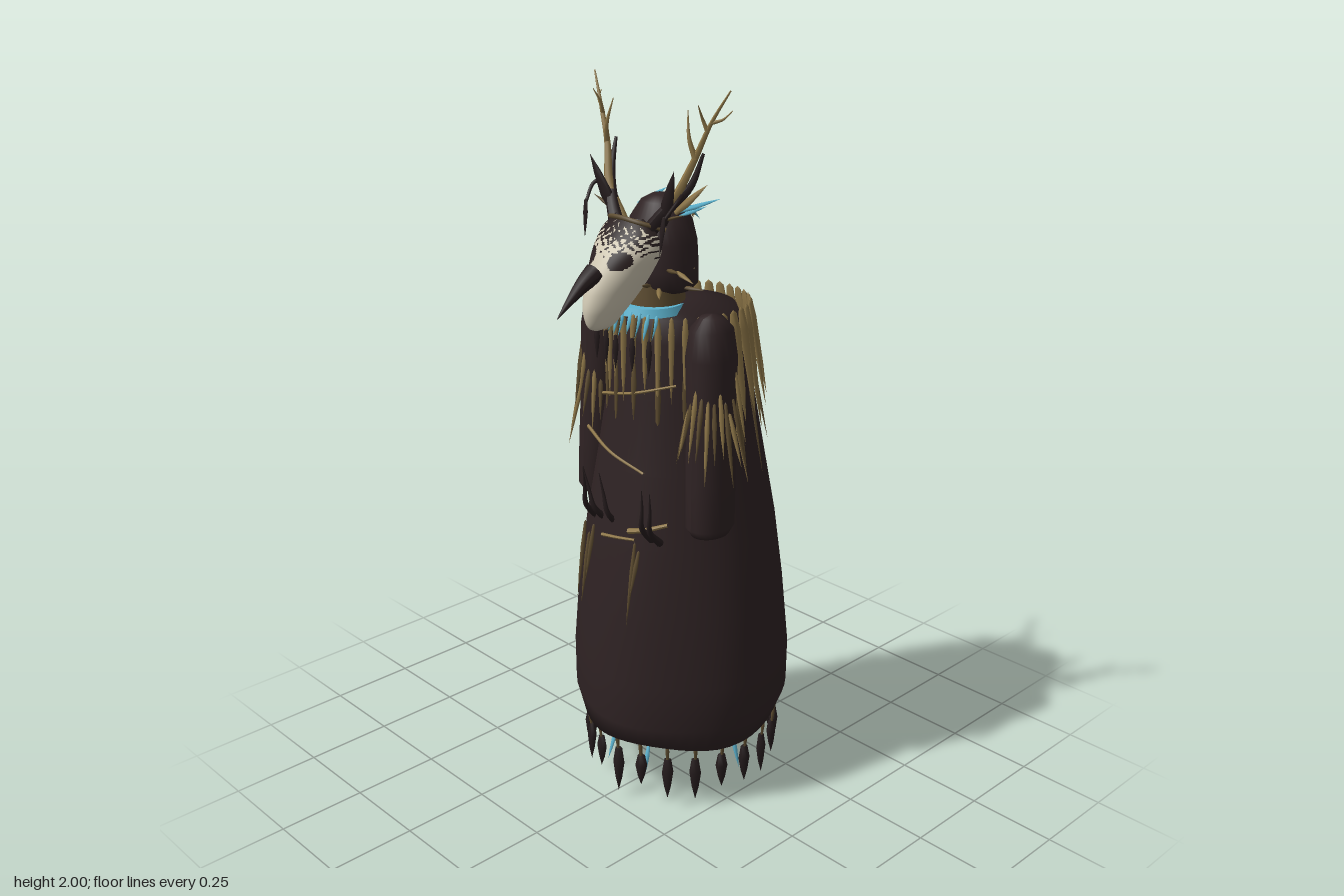
import * as THREE from 'three';
import { mergeVertices } from 'three/addons/utils/BufferGeometryUtils.js';

const mat = (name, color, side = THREE.FrontSide) => {
  const m = new THREE.MeshStandardMaterial({ color, side });
  m.name = name;
  return m;
};
const V = (x, y, z) => new THREE.Vector3(x, y, z);

// Small seeded random
let seed = 7;
const rnd = (a = 0, b = 1) => {
  seed = (seed * 16807) % 2147483647;
  return a + (b - a) * (seed / 2147483647);
};

// Tube along a smooth path whose radius shrinks from r0 to r1
function taper(points, r0, r1, sides = 8, steps = 16) {
  const curve = new THREE.CatmullRomCurve3(points.map((p) => V(...p)));
  const g = new THREE.TubeGeometry(curve, steps, 1, sides);
  const p = g.attributes.position;
  for (let i = 0; i < p.count; i++) {
    const t = Math.floor(i / (sides + 1)) / steps;
    const c = curve.getPointAt(t);
    const v = V(0, 0, 0).fromBufferAttribute(p, i).sub(c).multiplyScalar(r0 + (r1 - r0) * t).add(c);
    p.setXYZ(i, v.x, v.y, v.z);
  }
  g.computeVertexNormals();
  return g;
}

// Flattened feather or claw running from a to b, its flat side facing "out"
function leaf(a, b, width, thick, out = V(0, 0, 1), widest = 0.35) {
  const A = V(...a), B = V(...b), dir = B.clone().sub(A), len = dir.length();
  const profile = [[0, 0], [0.6, 0.03], [1, widest], [0.6, 0.7], [0, 1]];
  const g = new THREE.LatheGeometry(profile.map(([r, y]) => new THREE.Vector2(r, y)), 6);
  const y = dir.normalize();
  const x = V(0, 0, 0).crossVectors(y, out).normalize();
  const z = V(0, 0, 0).crossVectors(x, y);
  g.scale(width / 2, len, thick / 2);
  return g.applyMatrix4(new THREE.Matrix4().makeBasis(x, y, z).setPosition(A));
}

export function createModel() {
  seed = 7;
  const root = new THREE.Group();
  const cloth = mat('darkCloth', 0x2e2223);
  const horn = mat('darkHorn', 0x251c1d);
  const straw = mat('straw', 0x8c7547);
  const oldStraw = mat('oldStraw', 0x5c4b2f);
  const bone = mat('bone', 0xcfc7b2, THREE.DoubleSide);
  const pit = mat('maskDark', 0x2a2020, THREE.DoubleSide);
  const blue = mat('blue', 0x5db4d0);
  const group = (name) => {
    const g = new THREE.Group();
    g.name = name;
    root.add(g);
    return g;
  };
  const add = (name, geo, m, parent = root) => {
    const mesh = new THREE.Mesh(geo, m);
    mesh.name = name;
    parent.add(mesh);
    return mesh;
  };

  // Robe: rows of height, half width, front z, back z
  const rows = [[.155, 0, -.05, -.05], [.16, .2, .15, -.26], [.2, .283, .232, -.342], [.27, .306, .25, -.366],
    [.4, .31, .248, -.364], [.6, .29, .235, -.345], [.8, .262, .21, -.32], [1, .225, .178, -.285],
    [1.2, .19, .15, -.25], [1.35, .17, .135, -.225], [1.41, .15, .12, -.2], [1.445, .08, .1, -.08], [1.45, 0, .03, .03]];
  const S = 48, pos = [], idx = [];
  rows.forEach(([y, rx, zf, zb], r) => {
    for (let i = 0; i < S; i++) {
      const a = (i / S) * Math.PI * 2;
      const w = 1 + 0.016 * Math.sin(5 * a + 0.6) * Math.min(1, (1.45 - y) * 1.2);
      pos.push(rx * Math.sin(a) * w, y + (r < 3 ? 0.008 * Math.sin(4 * a) : 0),
        (zf + zb) / 2 + ((zf - zb) / 2) * Math.cos(a) * w);
      const j = r * S + i, k = r * S + ((i + 1) % S);
      if (r < rows.length - 1) idx.push(j, k, k + S, j, k + S, j + S);
    }
  });
  const robe = new THREE.BufferGeometry();
  robe.setAttribute('position', new THREE.Float32BufferAttribute(pos, 3));
  robe.setIndex(idx);
  robe.computeVertexNormals();
  add('robe', robe, cloth);

  // Hem: straw cords with dark claws, a few blue strands
  const hem = group('hemClaws');
  for (let i = 0; i < 22; i++) {
    const a = (i / 22) * Math.PI * 2 + 0.1, out = V(Math.sin(a), 0, Math.cos(a));
    const at = (k, y) => [out.x * 0.275 * k, y, -0.06 + out.z * 0.285 * k];
    const end = i === 11 ? 0 : rnd(0.02, 0.07);
    add('hemCord', leaf(at(1, 0.22), at(0.97, 0.13), 0.012, 0.01, out), oldStraw, hem);
    add('hemClaw', leaf(at(0.97, 0.165), at(0.98, end), 0.036, 0.026, out), horn, hem);
    if (i % 4 === 1) add('hemStrand', leaf(at(0.8, 0.17), at(0.9, 0.08), 0.014, 0.01, out), blue, hem);
  }

  // Shoulder cape: broad feathers behind, thin ones across the chest
  const cape = group('featherCape');
  for (let i = 0; i < 34; i++) {
    const a = (i / 34) * Math.PI * 2, out = V(Math.sin(a), 0, Math.cos(a));
    const front = out.z > 0.3;
    const at = (k, y) => [out.x * 0.185 * k, y, -0.04 + out.z * 0.195 * k];
    const drop = front ? rnd(0.15, 0.27) : rnd(0.26, 0.36);
    add('capeFeather', leaf(at(1, 1.43), at(front ? 1.02 : 1.27, 1.43 - drop), front ? 0.019 : 0.04, 0.016, out, 0.2),
      straw, cape);
    if (i % 2) add('capeUnderFeather', leaf(at(1, 1.3), at(front ? 1.02 : 1.3, 1.3 - drop), 0.017, 0.01, out), oldStraw, cape);
  }

  // Arms with hanging straw spikes
  for (const s of [1, -1]) {
    const arm = group(s > 0 ? 'leftArm' : 'rightArm');
    const profile = [[0, .845], [.045, .846], [.058, .87], [.06, 1], [.06, 1.2], [.065, 1.33], [.055, 1.405], [.03, 1.435], [0, 1.442]];
    const g = new THREE.LatheGeometry(profile.map((p) => new THREE.Vector2(...p)), 24);
    const p = g.attributes.position;
    for (let i = 0; i < p.count; i++) {
      const t = (1.44 - p.getY(i)) / 0.6;
      p.setX(i, p.getX(i) + s * (0.2 + 0.017 * t));
      p.setZ(i, p.getZ(i) * (1.05 + 0.2 * t) + 0.035 + 0.015 * t);
    }
    g.computeVertexNormals();
    add('sleeve', g, cloth, arm);
    for (let i = 0; i < 16; i++) {
      const a = -0.7 + (i / 15) * 3.9, out = V(s * Math.sin(a), 0, Math.cos(a));
      const y = rnd(1.18, 1.3), r = rnd(0.085, 0.105);
      const at = (k, h) => [s * 0.21 + out.x * k, h, 0.04 + out.z * k];
      add('sleeveSpike', leaf(at(0.058, y), at(r, y - rnd(0.13, 0.24)), 0.014, 0.012, out), i % 2 ? straw : oldStraw, arm);
    }
  }

  // Waist: cords, hanging strands and upturned claws
  const waist = group('waistTrim');
  const cord = (points, r = 0.005) => add('cord', taper(points, r, r * 0.7, 6), straw, waist);
  cord([[-.16, 1.07, .145], [-.03, 1.04, .18], [.09, 1.01, .172]]);
  cord([[-.1, 1.18, .14], [.03, 1.215, .153], [.15, 1.255, .11]]);
  cord([[-.03, .81, .215], [.03, .82, .213], [.09, .83, .205]]);
  cord([[.06, .845, .2], [.11, .86, .19], [.17, .885, .16]], 0.008);
  cord([[-.235, .905, -.02], [-.24, .9, -.08], [-.22, .9, -.15]]);
  for (const [x, y0, y1] of [[-.115, .82, .6], [-.08, .82, .66], [-.1, .79, .58], [.085, .82, .58], [.1, .8, .67]])
    add('waistStrand', leaf([x, y0, .2], [x, y1, .235], .013, .012), oldStraw, waist);
  for (const [x, lean] of [[-.1, .02], [-.05, -.03], [0, -.015], [.12, .03], [.15, .03]])
    add('waistClaw', taper([[x, .83, .17], [x + lean * .3, .88, .215], [x + lean * .7, .94, .225], [x + lean, 1, .235]],
      .011, .001), horn, waist);
  add('backThorn', taper([[-.2, .9, -.19], [-.215, .93, -.21], [-.24, .95, -.22]], .009, .001), horn, waist);

  // Neck, blue collar and chest pendants
  add('neck', new THREE.CylinderGeometry(.075, .085, .08, 24).translate(0, 1.455, .045), oldStraw);
  const collar = group('collar');
  add('collarBand', new THREE.CylinderGeometry(.092, .1, .022, 28).translate(0, 1.432, .06), blue, collar);
  for (let i = -4; i <= 4; i++) {
    const x = i * 0.025, z = 0.165 - Math.abs(i) * 0.006;
    add('collarDrip', leaf([x, 1.435, z - .01], [x, 1.36 + rnd(0, .02), z + .01], .014, .01), blue, collar);
    if (i % 2 === 0) {
      add('pendantCord', leaf([x, 1.43, z], [x, 1.34, z + .02], .006, .006), oldStraw, collar);
      add('pendant', leaf([x, 1.375, z + .018], [x, 1.28, z + .02], .018, .014), horn, collar);
    }
  }

  // Hooded head with a ring of spikes
  const head = group('head');
  const hood = [[0, 1.472], [.085, 1.472], [.103, 1.49], [.104, 1.53], [.1, 1.6], [.086, 1.655], [.055, 1.7], [.025, 1.716], [0, 1.72]];
  add('hood', new THREE.LatheGeometry(hood.map((p) => new THREE.Vector2(...p)), 32).scale(1, 1, .88).translate(0, 0, .022), cloth, head);
  add('maskPadding', new THREE.BoxGeometry(.1, .12, .07).translate(0, 1.595, .105), blue, head);
  for (let i = 0; i < 20; i++) {
    const a = 0.6 + (i / 19) * (Math.PI * 2 - 1.2), out = V(Math.sin(a), 0, Math.cos(a));
    const k = out.z > -0.2 ? rnd(.14, .175) : .11, y = rnd(1.48, 1.54);
    add('ruffSpike', leaf([out.x * .09, y, .04 + out.z * .085], [out.x * k, y + rnd(-.03, .04), .04 + out.z * k], .016, .012, V(0, 1, 0)),
      i % 2 ? straw : oldStraw, head);
  }
  add('browCord', taper([[-.1, 1.65, .1], [-.05, 1.67, .15], [0, 1.675, .158], [.05, 1.67, .15], [.1, 1.65, .1]], .006, .006, 6), oldStraw, head);
  add('hoodCord', taper([[-.07, 1.66, -.03], [0, 1.66, -.07], [.07, 1.66, -.03]], .004, .004, 6), oldStraw, head);
  for (const x of [-.05, 0, .04]) add('hoodChip', leaf([x, 1.7, -.02], [x, 1.64, -.08], .012, .01), blue, head);

  // Mask: bone below, weathered brow above, dark eye sockets
  const shape = [[1.675, .05, .13, .15], [1.64, .09, .12, .185], [1.6, .1, .115, .22], [1.55, .085, .13, .252],
    [1.5, .066, .155, .275], [1.45, .046, .19, .284], [1.41, .025, .22, .272], [1.398, .002, .245, .25]];
  const spine = new THREE.CatmullRomCurve3(shape.map(([y, w, zb]) => V(w, y, zb)));
  const nose = new THREE.CatmullRomCurve3(shape.map(([y, w, , zf]) => V(w, y, zf)));
  const N = 80, mp = [], light = [], dark = [];
  for (let r = 0; r <= N; r++) {
    const b = spine.getPoint(r / N), f = nose.getPoint(r / N);
    for (let c = 0; c <= N; c++) {
      const a = (c / N - 0.5) * Math.PI, x = b.x * Math.sin(a), z = b.z + (f.z - b.z) * Math.cos(a);
      mp.push(x, b.y, z);
      if (r === N || c === N) continue;
      const eye = Math.hypot((Math.abs(x) - .05) / .026, (b.y - 1.583) / .022) < 1;
      const blot = Math.sin(x * 310 + 3 * Math.sin(b.y * 190)) + Math.sin(b.y * 420 + 2.5 * Math.sin(x * 170 + 1));
      const worn = blot < (b.y - 1.625) * 45 && b.y > 1.585;
      const j = r * (N + 1) + c, k = j + N + 1;
      (eye || worn ? dark : light).push(j, k, j + 1, j + 1, k, k + 1);
    }
  }
  const mask = new THREE.BufferGeometry();
  mask.setAttribute('position', new THREE.Float32BufferAttribute(mp, 3));
  mask.setIndex(light.concat(dark));
  mask.addGroup(0, light.length, 0);
  mask.addGroup(light.length, dark.length, 1);
  mask.computeVertexNormals();
  add('mask', mask, [bone, pit], head);
  add('beak', mergeVertices(taper([[0, 1.55, .25], [0, 1.53, .285], [0, 1.495, .33], [0, 1.455, .375]], .028, .001, 12)), horn, head);

  // Antlers, dark horns, ears, dangling charms and blue plumes on both sides
  for (const s of [1, -1]) {
    const crown = group(s > 0 ? 'leftAntler' : 'rightAntler');
    const tube = (name, pts, r0, r1, m) => add(name, taper(pts.map(([x, y, z]) => [x * s, y, z]), r0, r1), m, crown);
    const blade = (name, a, b, w, m, out) => add(name, leaf([a[0] * s, a[1], a[2]], [b[0] * s, b[1], b[2]], w, w * .5, out), m, crown);
    tube('antlerBeam', [[.06, 1.65, .1], [.12, 1.73, .09], [.16, 1.83, .06], [.2, 1.92, .045], [.245, 2, .025]], .015, .002, straw);
    tube('antlerTine', [[.162, 1.83, .06], [.15, 1.88, .07], [.135, 1.945, .06]], .008, .001, straw);
    tube('antlerTine', [[.19, 1.9, .048], [.185, 1.93, .06], [.19, 1.965, .08]], .006, .001, straw);
    tube('antlerTine', [[.2, 1.92, .045], [.225, 1.93, .03], [.238, 1.95, .01]], .005, .001, straw);
    tube('darkHorn', [[.05, 1.63, .125], [.1, 1.7, .1], [.145, 1.76, .06], [.16, 1.84, .03]], .022, .004, horn);
    blade('ear', [.09, 1.66, .1], [.155, 1.81, .125], .04, horn);
    blade('sideFeather', [.11, 1.69, .08], [.19, 1.77, .045], .022, straw);
    blade('sideFeather', [.08, 1.67, .1], [.17, 1.7, .1], .018, oldStraw, V(0, 1, 0));
    tube('charmArm', [[.13, 1.74, .07], [.155, 1.735, .11], [.145, 1.69, .15]], .006, .004, horn);
    blade('charm', [.145, 1.7, .15], [.14, 1.6, .16], .016, horn);
    blade('bluePlume', [.07, 1.68, .035], [.1, 1.7, -.095], .026, blue, V(0, 1, 0));
    blade('bluePlume', [.075, 1.67, .03], [.075, 1.68, -.07], .018, blue, V(0, 1, 0));
  }
  return root;
}
